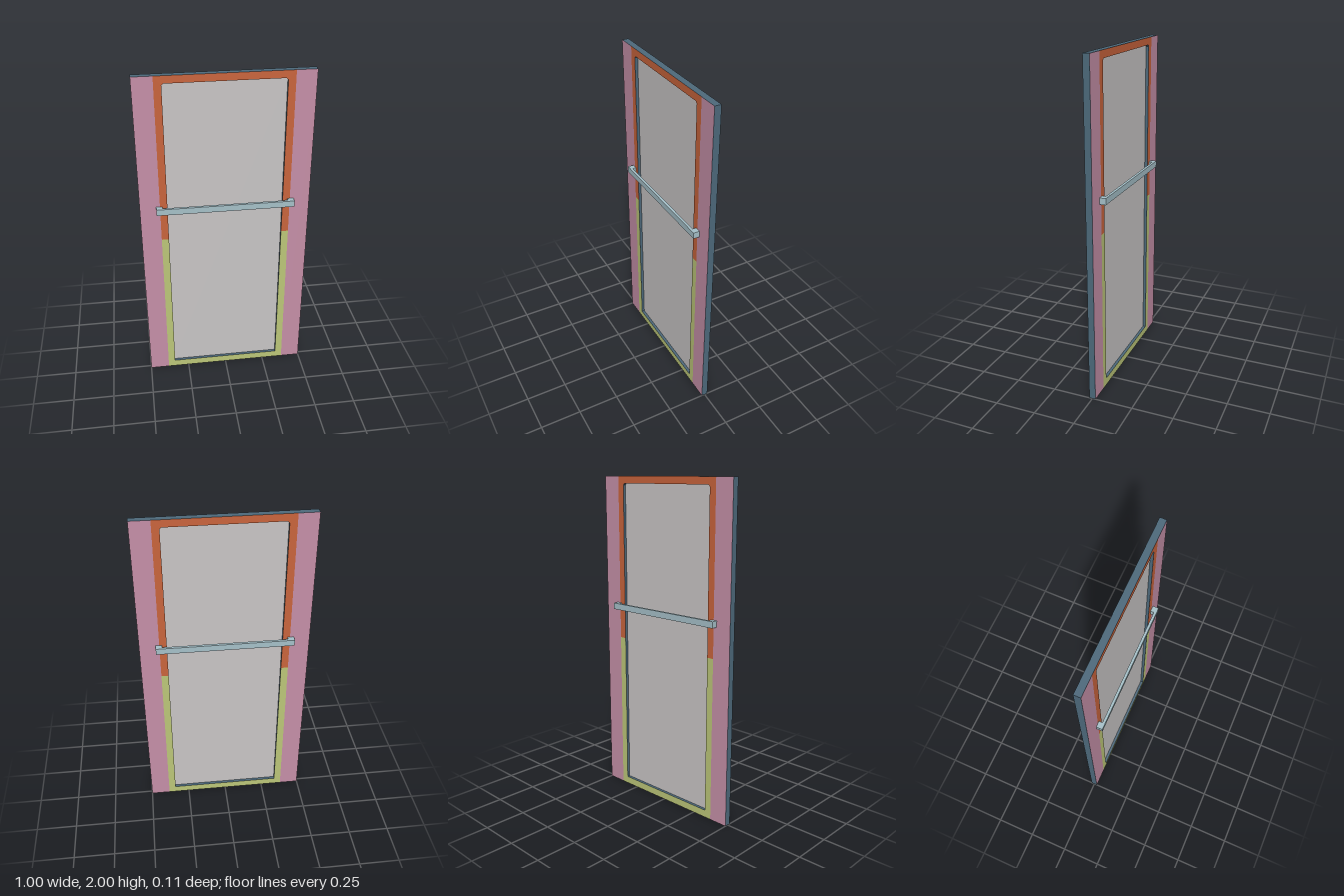
import * as THREE from 'three';

const W = 0.5, H = 2, T = 0.02;           // half width, height, half thickness
const INNER = 0.34, LOW = 0.045, HIGH = 1.957, CUT = 0.01, STILE = 0.383, MID = 1;

function material(name, color) {
  const m = new THREE.MeshStandardMaterial({ color });
  m.name = name;
  return m;
}

function polygon(points) {
  return new THREE.Shape(points.map(([x, y]) => new THREE.Vector2(x, y)));
}

export function createModel() {
  const slate = material('slateEdge', 0x4d697b);
  const pink = material('pinkStile', 0xc58fa7);
  const orange = material('orangeFrame', 0xc9643c);
  const green = material('greenFrame', 0xbcc678);
  const grey = material('greyPane', 0xc8c5c5);
  const steel = material('paleSteel', 0xa5c0c8);

  const group = new THREE.Group();
  const add = (name, geometry, mat, x = 0, y = 0, z = 0) => {
    const mesh = new THREE.Mesh(geometry, mat);
    mesh.name = name;
    mesh.position.set(x, y, z);
    group.add(mesh);
    return mesh;
  };

  // Door slab with the window opening; its rim shows on every edge
  const slab = polygon([[-W, 0], [W, 0], [W, H], [-W, H]]);
  slab.holes.push(polygon([
    [-INNER, LOW], [-INNER, HIGH - CUT], [-INNER + CUT, HIGH],
    [INNER - CUT, HIGH], [INNER, HIGH - CUT], [INNER, LOW],
  ]));
  const depth = 2 * T - 0.001;
  add('doorCore', new THREE.ExtrudeGeometry(slab, { depth, bevelEnabled: false }), slate, 0, 0, -depth / 2);

  // Coloured facings, the same on both sides of the door
  const facings = [
    ['leftStile', polygon([[STILE, 0], [W, 0], [W, H], [STILE, H]]), pink],
    ['rightStile', polygon([[-W, 0], [-STILE, 0], [-STILE, H], [-W, H]]), pink],
    ['upperFrame', polygon([
      [-STILE, MID], [-INNER, MID], [-INNER, HIGH - CUT], [-INNER + CUT, HIGH],
      [INNER - CUT, HIGH], [INNER, HIGH - CUT], [INNER, MID], [STILE, MID], [STILE, H], [-STILE, H],
    ]), orange],
    ['lowerFrame', polygon([
      [-STILE, 0], [STILE, 0], [STILE, MID], [INNER, MID],
      [INNER, LOW], [-INNER, LOW], [-INNER, MID], [-STILE, MID],
    ]), green],
  ];
  for (const [name, shape, mat] of facings) {
    const geometry = new THREE.ShapeGeometry(shape);
    add(name + 'Front', geometry, mat, 0, 0, T);
    add(name + 'Back', geometry, mat, 0, 0, -T).rotation.y = Math.PI;
  }
  // Turning the back facings swaps the stiles, which are mirror images

  // Window pane, recessed in the middle of the slab
  add('windowPane', new THREE.BoxGeometry(2 * INNER, HIGH - LOW, 0.004), grey, 0, (HIGH + LOW) / 2, 0);

  // Push bars on both sides, each a single bracket with its two mounts
  for (const side of [1, -1]) {
    const bracket = polygon([
      [-0.405, 0.019], [-0.368, 0.019], [-0.368, 0.041], [0.368, 0.041],
      [0.368, 0.019], [0.405, 0.019], [0.405, 0.057], [-0.405, 0.057],
    ]);
    const geometry = new THREE.ExtrudeGeometry(bracket, { depth: 0.038, bevelEnabled: false });
    geometry.rotateX(-Math.PI / 2);
    if (side > 0) geometry.rotateY(Math.PI);
    add(side > 0 ? 'frontPushBar' : 'backPushBar', geometry, steel, 0, 1.186, 0);
  }
  return group;
}
